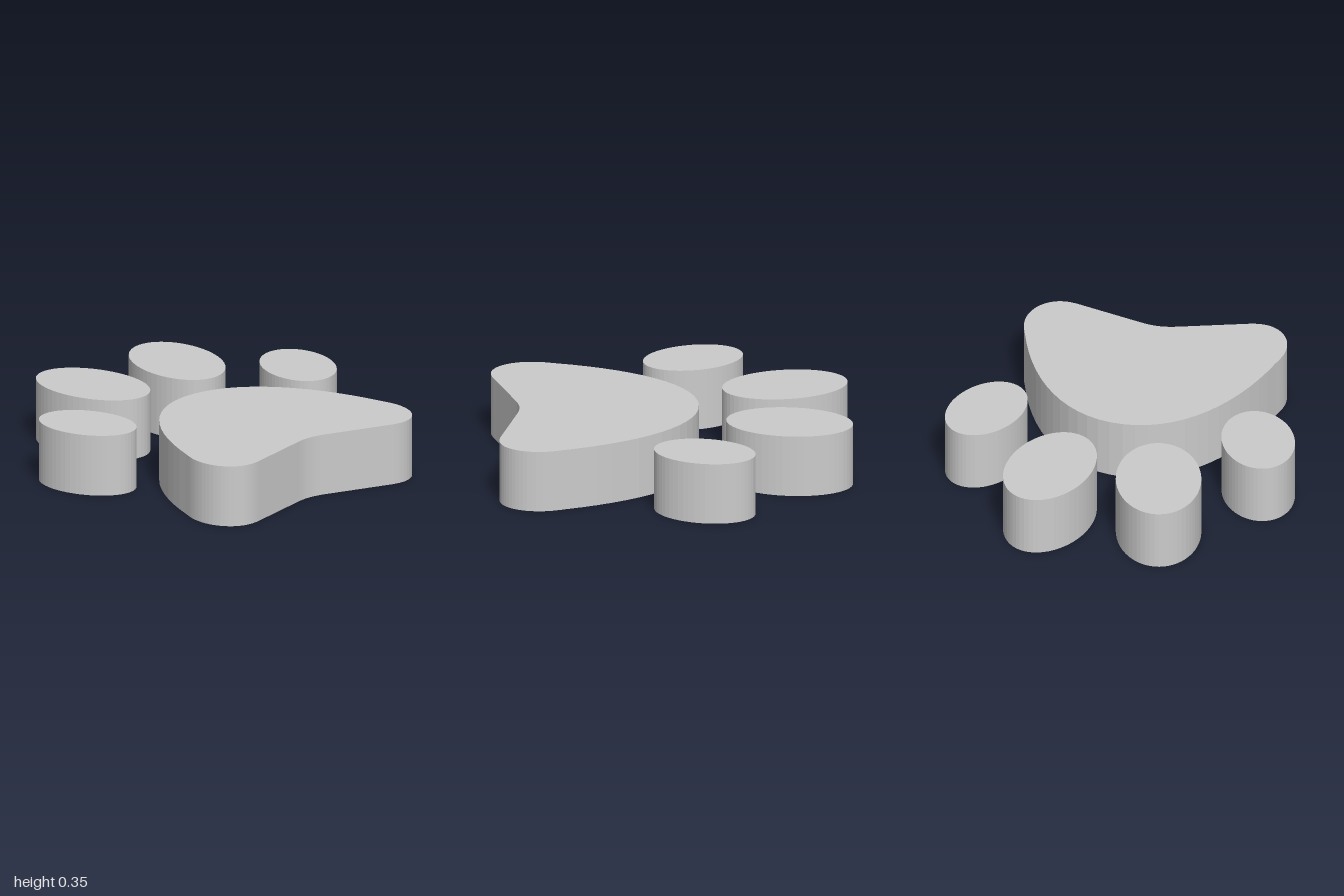
import * as THREE from 'three';

const HEIGHT = 0.355;
const material = new THREE.MeshStandardMaterial({ color: 0xcccccc });

// Stand an outline drawn in (x, -z) up from the ground
function slab(name, shape, curveSegments) {
  const geometry = new THREE.ExtrudeGeometry(shape, { depth: HEIGHT, bevelEnabled: false, curveSegments });
  geometry.rotateX(-Math.PI / 2);
  const mesh = new THREE.Mesh(geometry, material);
  mesh.name = name;
  return mesh;
}

function toe(name, x, z, rx, rz, tilt) {
  const shape = new THREE.Shape();
  shape.absellipse(x, -z, rx, rz, 0, Math.PI * 2, false, tilt);
  return slab(name, shape, 28);
}

// Right half of the palm outline as (x, z) Bezier points, from back centre to front centre
const palmHalf = [
  [0, -0.147],
  [0.35, -0.147], [0.6, 0.2], [0.72, 0.63],
  [0.74, 0.69], [0.75, 0.72], [0.75, 0.775],
  [0.75, 0.9], [0.67, 1], [0.56, 1],
  [0.52, 1], [0.48, 0.987], [0.45, 0.978],
  [0.33, 0.944], [0.22, 0.912], [0.1, 0.878],
  [0.06, 0.867], [0.03, 0.863], [0, 0.863],
];

function palm() {
  const mirrored = palmHalf.slice(0, -1).reverse().map(([x, z]) => [-x, z]);
  const points = [...palmHalf, ...mirrored];
  const shape = new THREE.Shape();
  shape.moveTo(points[0][0], -points[0][1]);
  for (let i = 1; i < points.length; i += 3) {
    const [a, b, c] = points.slice(i, i + 3);
    shape.bezierCurveTo(a[0], -a[1], b[0], -b[1], c[0], -c[1]);
  }
  return slab('palmPad', shape, 14);
}

export function createModel() {
  const group = new THREE.Group();
  group.name = 'pawPrint';
  group.add(palm());
  // Toes mirrored across the centre line, tilted outward
  for (const [side, s] of [['left', 1], ['right', -1]]) {
    group.add(toe(side + 'InnerToe', s * 0.312, -0.645, 0.241, 0.36, -s * 0.215));
    group.add(toe(side + 'OuterToe', s * 0.781, -0.147, 0.205, 0.293, -s * 0.355));
  }
  return group;
}
